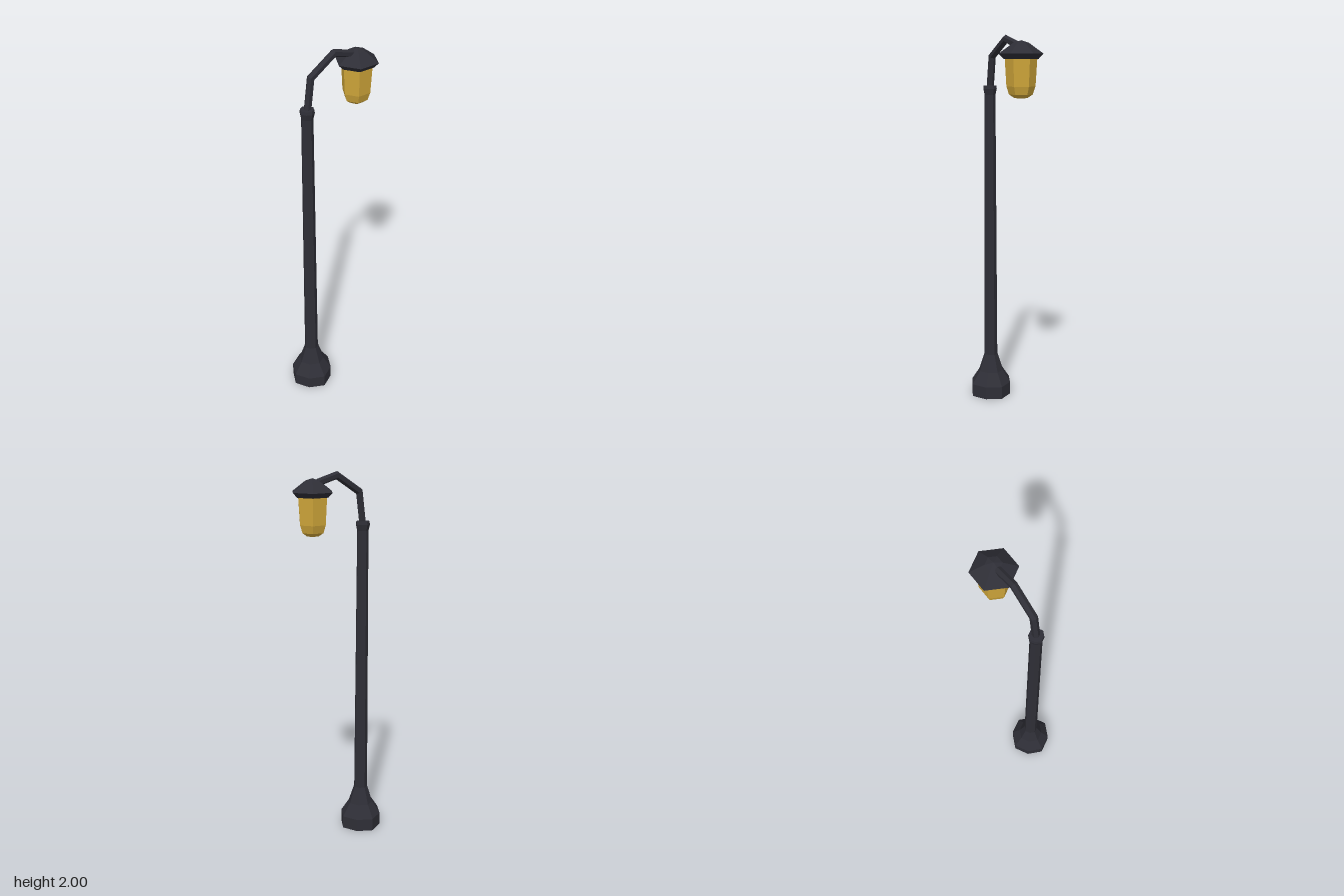
import * as THREE from 'three';

const iron = new THREE.MeshStandardMaterial({ color: 0x2e2e36 });
iron.name = 'dark iron';
const amber = new THREE.MeshStandardMaterial({ color: 0xcfa63a });
amber.name = 'amber glass';

// Splits shared vertices so that every facet is flat
function faceted(geometry) {
  const flat = geometry.index ? geometry.toNonIndexed() : geometry;
  flat.computeVertexNormals();
  return flat;
}

function part(name, geometry, material) {
  const mesh = new THREE.Mesh(faceted(geometry), material);
  mesh.name = name;
  return mesh;
}

// Turned profile of [radius, height] pairs, listed from the bottom up
function turned(profile, sides, start = 0) {
  return new THREE.LatheGeometry(profile.map(([r, y]) => new THREE.Vector2(r, y)), sides, start);
}

// Octagon with its diagonal corners drawn in slightly
function postGeometry(profile) {
  const g = turned(profile, 8);
  const p = g.attributes.position;
  for (let i = 0; i < p.count; i++) {
    const x = p.getX(i), z = p.getZ(i);
    if (Math.min(Math.abs(x), Math.abs(z)) > 0.001) p.setXYZ(i, x * 0.93, p.getY(i), z * 0.93);
  }
  return g;
}

// Six-sided bar along a bent path in the xy plane, mitred at each bend
function bentBar(path, radius, sides = 6) {
  const pts = path.map(([x, y]) => new THREE.Vector2(x, y));
  const last = pts.length - 1;
  const positions = [], index = [];
  const direction = (i) => pts[i + 1].clone().sub(pts[i]).normalize();
  pts.forEach((p, i) => {
    const before = direction(Math.max(i - 1, 0));
    const after = direction(Math.min(i, last - 1));
    const t = before.clone().add(after).normalize();
    const r = radius / t.dot(before);
    for (let j = 0; j < sides; j++) {
      const a = (j / sides) * Math.PI * 2;
      positions.push(p.x - t.y * r * Math.cos(a), p.y + t.x * r * Math.cos(a), radius * Math.sin(a));
    }
  });
  const end = last * sides;
  for (let j = 0; j < sides; j++) {
    const k = (j + 1) % sides;
    for (let i = 0; i < last; i++) {
      const a = i * sides, b = a + sides;
      index.push(a + j, a + k, b + k, a + j, b + k, b + j);
    }
    // End caps as fans
    if (j > 0 && j < sides - 1) index.push(0, k, j, end, end + j, end + k);
  }
  const g = new THREE.BufferGeometry();
  g.setAttribute('position', new THREE.Float32BufferAttribute(positions, 3));
  g.setIndex(index);
  return g;
}

export function createModel() {
  const model = new THREE.Group();
  model.name = 'streetLamp';

  // Post: flared foot, tapering pole and collar
  const post = new THREE.Group();
  post.name = 'post';
  post.position.x = -0.149;
  post.add(
    part('foot', postGeometry([[0, 0], [0.12, 0], [0.12, 0.07], [0.073, 0.14], [0.04, 0.235]]), iron),
    part('pole', postGeometry([[0.04, 0.235], [0.032, 1.69]]), iron),
    part('collar', postGeometry([[0.032, 1.69], [0.04, 1.722], [0.037, 1.738], [0, 1.738]]), iron),
  );

  // Curved arm
  const arm = part('arm', bentBar([[-0.148, 1.72], [-0.125, 1.89], [0.014, 1.978], [0.127, 1.947]], 0.019), iron);

  // Six-sided lantern
  const lantern = new THREE.Group();
  lantern.name = 'lantern';
  lantern.position.x = 0.157;
  const corner = Math.PI / 2;
  lantern.add(
    part('lanternRoof', turned([[0, 1.88], [0.088, 1.88], [0.112, 1.905], [0.04, 1.957], [0, 1.97]], 6, corner), iron),
    part('lanternGlass', turned([[0, 1.685], [0.033, 1.687], [0.06, 1.705], [0.073, 1.745], [0.081, 1.88]], 6, corner), amber),
  );

  model.add(post, arm, lantern);
  return model;
}
